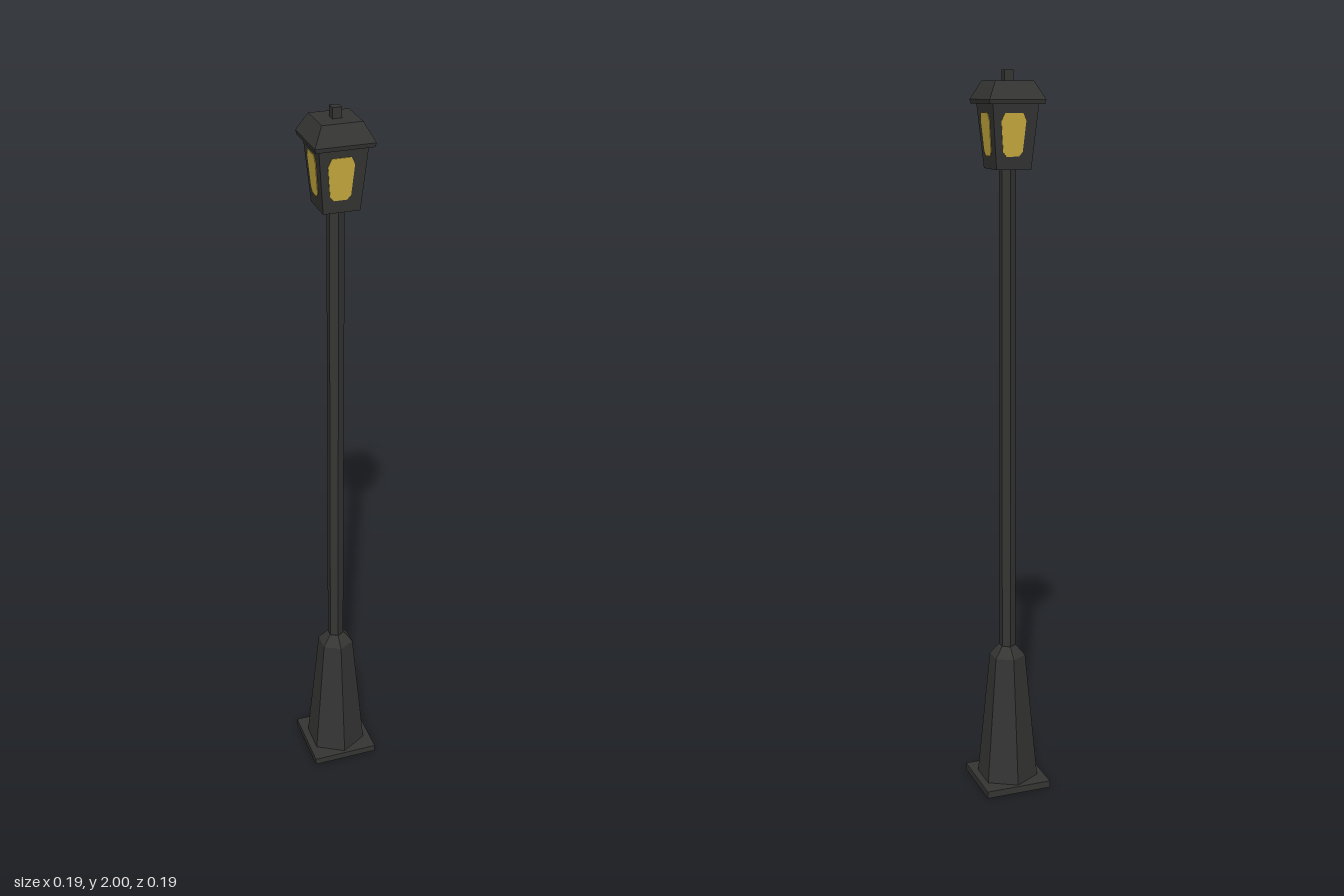
import * as THREE from 'three';

export function createModel() {
  const group = new THREE.Group();
  const iron = new THREE.MeshStandardMaterial({ color: 0x353534 });
  const glow = new THREE.MeshStandardMaterial({ color: 0xcbae40 });

  // Faceted frustum: six sides for the post, four for the plate and lantern
  function frustum(name, sides, y0, y1, r0, r1) {
    const k = sides === 4 ? Math.SQRT2 : 1; // four-sided sizes are half widths
    let geo = new THREE.CylinderGeometry(r1 * k, r0 * k, y1 - y0, sides);
    if (sides === 4) geo.rotateY(Math.PI / 4);
    geo = geo.toNonIndexed();
    geo.computeVertexNormals();
    const mesh = new THREE.Mesh(geo, iron);
    mesh.name = name;
    mesh.position.y = (y0 + y1) / 2;
    group.add(mesh);
  }

  // Foot and post
  frustum('basePlate', 4, 0, 0.02, 0.095, 0.095);
  frustum('pedestal', 6, 0.02, 0.39, 0.087, 0.051);
  frustum('pedestalShoulder', 6, 0.39, 0.42, 0.051, 0.024);
  frustum('pole', 6, 0.41, 1.76, 0.023, 0.023);

  // Lantern
  frustum('lanternBody', 4, 1.75, 1.916, 0.048, 0.063);
  frustum('roofEave', 4, 1.915, 1.926, 0.075, 0.077);
  frustum('roof', 4, 1.926, 1.973, 0.077, 0.052);
  frustum('finial', 4, 1.97, 2.0, 0.012, 0.012);

  // Glowing pane with cut corners, narrowing downwards
  const pane = new THREE.Shape([
    [-0.017, -0.055], [0.017, -0.055], [0.027, -0.043], [0.034, 0.035],
    [0.025, 0.055], [-0.025, 0.055], [-0.034, 0.035], [-0.027, -0.043],
  ].map(([x, y]) => new THREE.Vector2(x, y)));
  const paneGeo = new THREE.ExtrudeGeometry(pane, { depth: 0.002, bevelEnabled: false });
  paneGeo.rotateX(Math.atan2(0.015, 0.166));
  paneGeo.translate(-0.005, 1.838, 0.0555);

  // One pane on each side of the lantern
  for (let i = 0; i < 4; i++) {
    const mesh = new THREE.Mesh(paneGeo, glow);
    mesh.name = 'lanternPane' + (i + 1);
    mesh.rotation.y = i * Math.PI / 2;
    group.add(mesh);
  }

  iron.name = 'darkIron';
  glow.name = 'warmGlow';
  return group;
}
